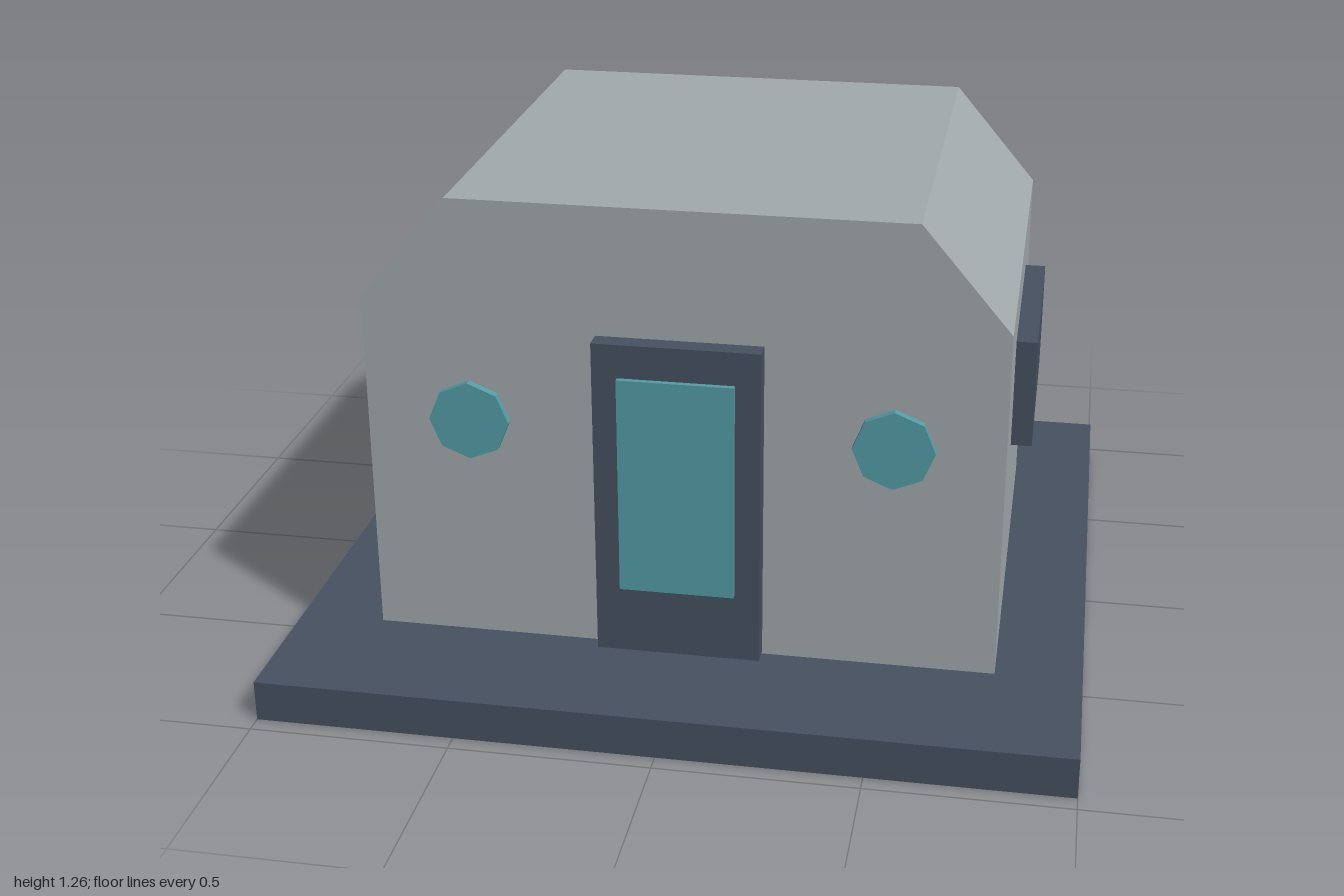
import * as THREE from 'three';

const mat = (name, color) => {
  const m = new THREE.MeshStandardMaterial({ color });
  m.name = name;
  return m;
};

export function createModel() {
  const concrete = mat('concreteGrey', 0xa2aaab);
  const slate = mat('slateBlue', 0x465160);
  const glass = mat('tealGlass', 0x539da7);

  const model = new THREE.Group();
  model.name = 'bunkerHut';

  const add = (name, geometry, material, x, y, z) => {
    const mesh = new THREE.Mesh(geometry, material);
    mesh.name = name;
    mesh.position.set(x, y, z);
    model.add(mesh);
    return mesh;
  };
  // Box given by its centre x and z, its size, and its bottom and top heights
  const box = (name, material, x, z, w, d, y0, y1) =>
    add(name, new THREE.BoxGeometry(w, y1 - y0, d), material, x, (y0 + y1) / 2, z);

  // Foundation slab
  box('foundation', slate, 0, 0, 2, 1.91, 0, 0.105);

  // Hut body with chamfered roof edges, extruded front to back
  const depth = 1.21;
  const profile = new THREE.Shape([
    [-0.785, 0.105], [0.785, 0.105], [0.785, 1.0],
    [0.565, 1.26], [-0.565, 1.26], [-0.785, 1.0],
  ].map(([x, y]) => new THREE.Vector2(x, y)));
  add('body', new THREE.ExtrudeGeometry(profile, { depth, bevelEnabled: false }),
    concrete, 0, 0, -depth / 2);

  // Octagonal porthole disc with its axis along z
  const disc = new THREE.CylinderGeometry(0.1, 0.1, 0.02, 8).toNonIndexed();
  disc.rotateX(Math.PI / 2);
  disc.computeVertexNormals();

  // Doors and portholes on the front and back
  for (const [side, s] of [['front', 1], ['back', -1]]) {
    box(side + 'Door', slate, 0, s * 0.63, 0.41, 0.05, 0.112, 0.935);
    box(side + 'DoorGlass', glass, 0, s * 0.661, 0.285, 0.016, 0.29, 0.85);
    add(side + 'PortholeLeft', disc, glass, 0.52, 0.7, s * 0.624);
    add(side + 'PortholeRight', disc, glass, -0.52, 0.7, s * 0.624);
  }

  // Shutter panels on the side walls
  box('leftShutter', slate, 0.81, 0, 0.055, 0.565, 0.58, 0.86);
  box('rightShutter', slate, -0.81, 0, 0.055, 0.565, 0.58, 0.86);

  return model;
}
